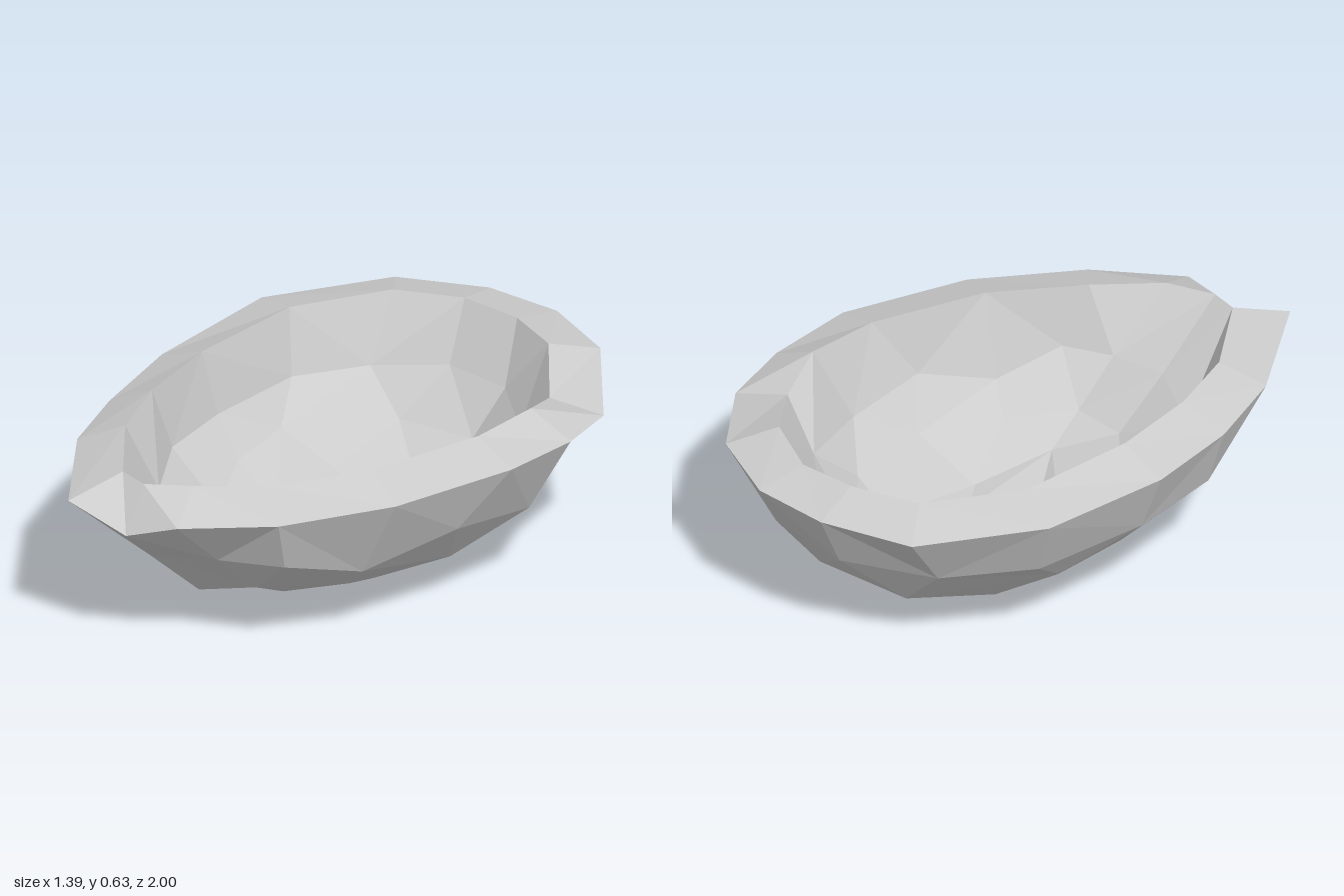
import * as THREE from 'three';

// Rings run from the back, over +x, to the front and round again: [x, y, z]
const outerRim = [
  [0, .59, -1], [.28, .59, -.94], [.56, .54, -.71], [.65, .56, -.49], [.695, .58, -.2], [.63, .575, .24],
  [.47, .565, .6], [.26, .56, .85], [.09, .49, .92], [-.1, .57, 1], [-.4, .565, .7], [-.54, .555, .44],
  [-.65, .565, .12], [-.7, .585, -.35], [-.53, .58, -.77], [-.26, .59, -.94]];
const innerRim = [
  [0, .625, -.83], [.21, .635, -.78], [.41, .58, -.61], [.5, .635, -.45], [.53, .635, -.2], [.47, .63, .2],
  [.33, .62, .51], [.18, .635, .71], [.05, .625, .81], [-.05, .63, .81], [-.28, .63, .6], [-.4, .63, .38],
  [-.49, .63, .09], [-.53, .63, -.32], [-.4, .63, -.65], [-.2, .635, -.78]];
const bowlRings = [
  [[.08, .38, -.88], [.36, .36, -.72], [.55, .31, -.4], [.59, .37, -.06], [.48, .28, .25], [.42, .37, .53],
    [.24, .37, .66], [0, .32, .74], [-.27, .33, .67], [-.48, .35, .42], [-.57, .35, .1], [-.6, .36, -.32],
    [-.46, .36, -.62], [-.22, .38, -.84]],
  [[.05, .18, -.73], [.34, .18, -.52], [.45, .18, -.15], [.36, .17, .2], [.21, .19, .47], [-.01, .11, .52],
    [-.25, .14, .37], [-.42, .2, .12], [-.49, .22, -.17], [-.28, .18, -.62]],
  [[.15, .08, -.5], [.19, .03, -.05], [.15, .09, .3], [0, .13, .43], [-.2, .07, .1], [-.29, .07, -.28], [-.1, .08, -.53]],
  [[.08, .02, -.15], [-.06, .025, .09], [-.09, 0, -.26]]];

const angle = (p) => {
  const a = Math.atan2(p[0], -(p[2] + .1));
  return a < 0 ? a + Math.PI * 2 : a;
};
const byAngle = (ring) => [...ring].sort((p, q) => angle(p) - angle(q));

// Triangles joining two closed rings, which may differ in point count
function stitch(a, b) {
  const tris = [], n = a.length, m = b.length;
  const at = (r, k) => r[k % r.length];
  const turn = (r, k) => angle(at(r, k)) + (k >= r.length ? Math.PI * 2 : 0);
  let i = 0, j = 0;
  while (i < n || j < m) {
    const stepA = n === m ? i <= j : j >= m || (i < n && turn(a, i + 1) <= turn(b, j + 1));
    if (stepA) {
      tris.push([at(a, i), at(a, i + 1), at(b, j)]);
      i++;
    } else {
      tris.push([at(a, i), at(b, j + 1), at(b, j)]);
      j++;
    }
  }
  return tris;
}

// Bowl surface from the rim down to a closing triangle
function bowl(rings) {
  const tris = [];
  for (let k = 0; k < rings.length - 1; k++) tris.push(...stitch(rings[k], rings[k + 1]));
  tris.push(rings[rings.length - 1]);
  return tris;
}

function facetMesh(name, tris, flip = false) {
  const points = tris.flatMap(([a, b, c]) => (flip ? [a, c, b] : [a, b, c])).flat();
  const geometry = new THREE.BufferGeometry();
  geometry.setAttribute('position', new THREE.Float32BufferAttribute(points, 3));
  geometry.computeVertexNormals();
  const mesh = new THREE.Mesh(geometry, new THREE.MeshStandardMaterial({
    color: 0xcccccc, flatShading: true, side: THREE.DoubleSide }));
  mesh.name = name;
  return mesh;
}

// The hollow repeats the outer facets at a smaller scale, with a gentler ramp behind the chipped front
function hollowPoint([x, y, z]) {
  const ramp = z > .45 && Math.abs(x) < .2 ? .05 : 0;
  return [x * .78, .14 + y * .77 + ramp, (z + .1) * .8 - .1];
}

export function createModel() {
  const group = new THREE.Group();
  group.name = 'halfEggShell';
  const rings = bowlRings.map(byAngle);

  // The step under the front lip exists only on the outside
  const hollow = rings.map((ring, k) => ring.filter((p) => k !== 2 || p[2] < .4).map(hollowPoint));

  group.add(
    facetMesh('outerShell', bowl([outerRim, ...rings])),
    facetMesh('hollow', bowl([innerRim, ...hollow]), true),
    facetMesh('rim', stitch(innerRim, outerRim)));
  return group;
}
